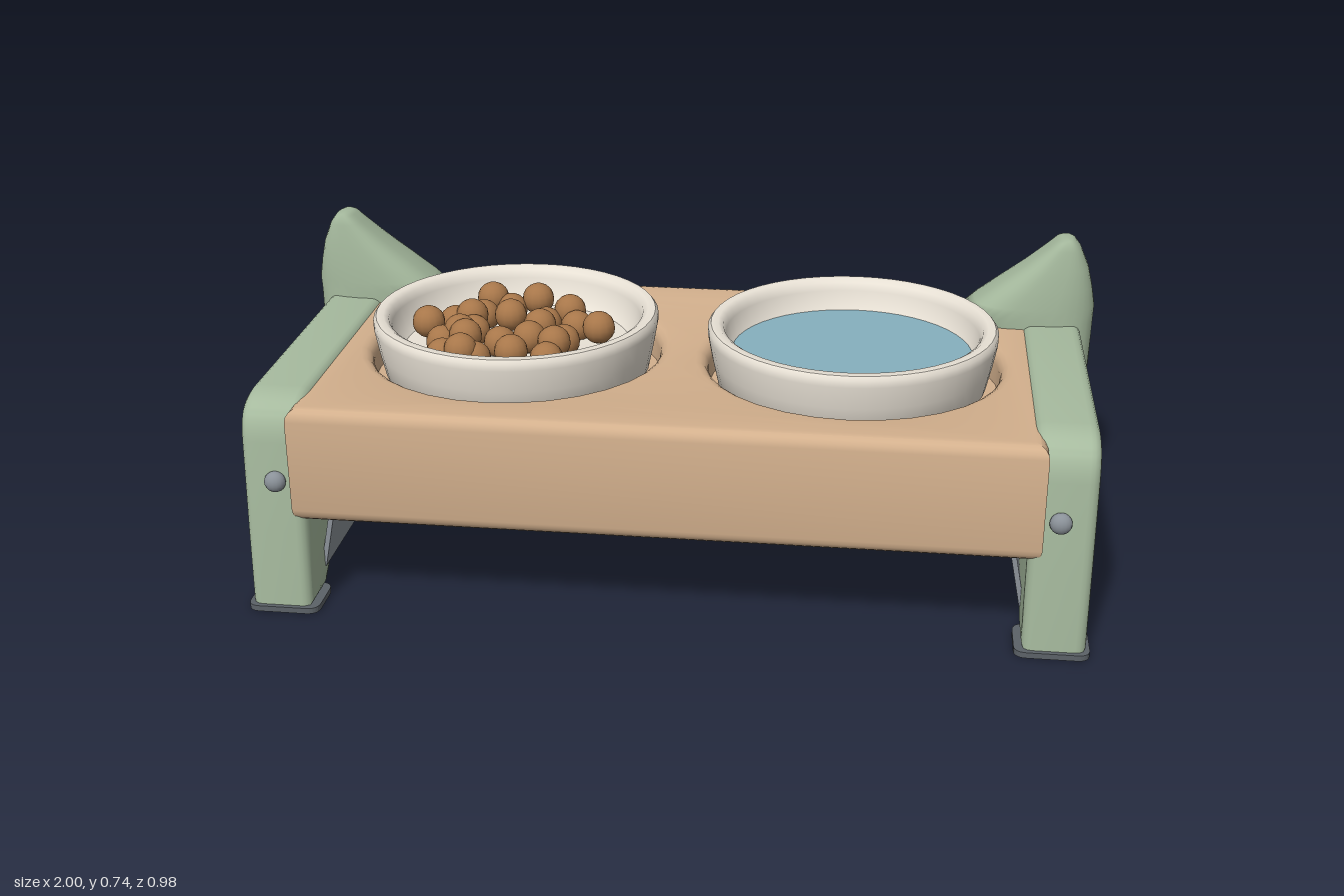
import * as THREE from 'three';
import { toCreasedNormals } from 'three/addons/utils/BufferGeometryUtils.js';

const mat = (color) => new THREE.MeshStandardMaterial({ color });
const GREEN = mat(0xa6ba9e), TAN = mat(0xd3b08d), WHITE = mat(0xe9e2d6);
const WATER = mat(0x86b0be), FOOD = mat(0xa8774a), METAL = mat(0x8b9299), RUBBER = mat(0x5c6268);

function add(parent, name, geometry, material, x = 0, y = 0, z = 0) {
  const mesh = new THREE.Mesh(geometry, material);
  mesh.name = name;
  mesh.position.set(x, y, z);
  parent.add(mesh);
  return mesh;
}

// Extrusion whose bevel stays inside the outline
function bevelled(shape, thickness, bevel) {
  const g = new THREE.ExtrudeGeometry(shape, {
    depth: thickness - 2 * bevel, bevelEnabled: true, bevelSize: bevel,
    bevelThickness: bevel, bevelOffset: -bevel, bevelSegments: 4, curveSegments: 16,
  });
  g.translate(0, 0, bevel - thickness / 2);
  return toCreasedNormals(g, 0.6);
}

// Tray plate with two round openings, seen in plan
function trayGeometry() {
  const s = new THREE.Shape();
  s.moveTo(-0.85, -0.475).lineTo(0.85, -0.475).lineTo(0.85, 0.475).lineTo(-0.85, 0.475).closePath();
  for (const x of [-0.41, 0.41]) {
    s.holes.push(new THREE.Path().absarc(x, 0, 0.35, 0, Math.PI * 2, true));
  }
  return bevelled(s, 0.28, 0.03).rotateX(-Math.PI / 2);
}

// End panel with arched cut-out between two legs, drawn in z and y
function panelGeometry() {
  const s = new THREE.Shape();
  s.moveTo(0.478, 0.005);
  s.lineTo(0.47, 0.2);
  s.lineTo(0.456, 0.42);
  s.bezierCurveTo(0.45, 0.49, 0.42, 0.515, 0.35, 0.52);
  s.lineTo(-0.35, 0.52);
  s.bezierCurveTo(-0.42, 0.515, -0.45, 0.49, -0.456, 0.42);
  s.lineTo(-0.47, 0.2);
  s.lineTo(-0.478, 0.005);
  s.lineTo(-0.355, 0.005);
  s.lineTo(-0.28, 0.068);
  s.quadraticCurveTo(-0.25, 0.09, -0.2, 0.09);
  s.lineTo(0.2, 0.09);
  s.quadraticCurveTo(0.25, 0.09, 0.28, 0.068);
  s.lineTo(0.355, 0.005);
  s.closePath();
  return bevelled(s, 0.145, 0.025).rotateY(-Math.PI / 2);
}

// Ear-shaped corner post: rounded sections [y, inner x, outer x, back z, front z]
function earGeometry(side) {
  const levels = [
    [0.01, 0.9, 0.9, -0.42, -0.42], [0.01, 0.83, 0.97, -0.478, -0.36],
    [0.1, 0.83, 0.975, -0.478, -0.285], [0.2, 0.83, 0.985, -0.476, -0.26],
    [0.4, 0.82, 0.998, -0.464, -0.25], [0.52, 0.66, 1.0, -0.45, -0.245],
    [0.56, 0.7, 1.0, -0.438, -0.246], [0.61, 0.76, 0.99, -0.418, -0.25],
    [0.66, 0.82, 0.977, -0.395, -0.255], [0.71, 0.873, 0.955, -0.368, -0.262],
    [0.73, 0.893, 0.94, -0.355, -0.267], [0.735, 0.905, 0.93, -0.345, -0.275],
    [0.735, 0.917, 0.917, -0.31, -0.31],
  ];
  const n = 32, pos = [], index = [];
  const soft = (v) => Math.sign(v) * Math.abs(v) ** 0.7;
  levels.forEach(([y, x0, x1, z0, z1], i) => {
    for (let j = 0; j < n; j++) {
      const t = (j / n) * Math.PI * 2;
      const x = (x0 + x1) / 2 + ((x1 - x0) / 2) * soft(Math.cos(t));
      pos.push(side * x, y, (z0 + z1) / 2 + ((z1 - z0) / 2) * soft(Math.sin(t)));
      if (i === levels.length - 1) continue;
      const a = i * n + j, b = i * n + ((j + 1) % n), c = a + n, d = b + n;
      if (side > 0) index.push(a, c, b, b, c, d);
      else index.push(a, b, c, b, d, c);
    }
  });
  const g = new THREE.BufferGeometry();
  g.setAttribute('position', new THREE.Float32BufferAttribute(pos, 3));
  g.setIndex(index);
  g.computeVertexNormals();
  return g;
}

function buildEnd(side) {
  const end = new THREE.Group();
  end.name = side > 0 ? 'leftEnd' : 'rightEnd';
  add(end, 'endPanel', panelGeometry(), GREEN, side * 0.8925);
  add(end, 'ear', earGeometry(side), GREEN);

  // Metal bracket joining the panel to the tray floor
  const plate = add(end, 'bracketPlate', new THREE.BoxGeometry(0.012, 0.165, 0.72), METAL, side * 0.807, 0.142);
  plate.rotation.z = side * 0.2;
  add(end, 'bracketFlange', new THREE.BoxGeometry(0.1, 0.014, 0.72), RUBBER, side * 0.78, 0.221);

  for (const f of [1, -1]) {
    // Foot pad with softened corners
    const w = 0.085, d = 0.065, pad = new THREE.Shape();
    pad.moveTo(-w, -d + 0.03).quadraticCurveTo(-w, -d, -w + 0.03, -d);
    pad.lineTo(w - 0.03, -d).quadraticCurveTo(w, -d, w, -d + 0.03);
    pad.lineTo(w, d - 0.03).quadraticCurveTo(w, d, w - 0.03, d);
    pad.lineTo(-w + 0.03, d).quadraticCurveTo(-w, d, -w, d - 0.03);
    const g = new THREE.ExtrudeGeometry(pad, { depth: 0.014, bevelEnabled: false, curveSegments: 6 });
    add(end, 'footPad', g.rotateX(-Math.PI / 2), RUBBER, side * 0.889, 0, f * 0.424);

    const screw = add(end, 'screw', new THREE.SphereGeometry(0.025, 16, 12), METAL, side * 0.885, 0.33, f * 0.468);
    screw.scale.z = 0.8;
  }
  return end;
}

function bowlGeometry() {
  const profile = [[0, 0.42], [0.29, 0.42], [0.322, 0.46], [0.335, 0.52], [0.345, 0.575], [0.345, 0.592],
    [0.338, 0.601], [0.32, 0.602], [0.308, 0.594], [0.302, 0.575], [0.292, 0.53], [0.275, 0.512], [0, 0.508]];
  const g = new THREE.LatheGeometry(profile.map(([r, y]) => new THREE.Vector2(r, y)), 48);
  return toCreasedNormals(g, 0.7);
}

export function createModel() {
  const model = new THREE.Group();
  model.name = 'petFeeder';

  // Tray with a closed floor
  add(model, 'tray', trayGeometry(), TAN, 0, 0.37, -0.003);
  add(model, 'trayFloor', new THREE.BoxGeometry(1.64, 0.2, 0.9), TAN, 0, 0.33, -0.003);

  for (const side of [1, -1]) model.add(buildEnd(side));

  // Water bowl and food bowl
  add(model, 'waterBowl', bowlGeometry(), WHITE, 0.405);
  add(model, 'foodBowl', bowlGeometry(), WHITE, -0.41);
  add(model, 'water', new THREE.CylinderGeometry(0.288, 0.28, 0.012, 48), WATER, 0.405, 0.522);

  // Food pellets, given as x and z
  const pellets = [
    [-0.51, -0.19], [-0.46, -0.175], [-0.395, -0.195], [-0.31, -0.165], [-0.3, -0.12], [-0.275, -0.07],
    [-0.21, -0.01], [-0.29, 0.03], [-0.3, 0.1], [-0.31, 0.15], [-0.39, 0.17], [-0.48, 0.165],
    [-0.51, 0.175], [-0.56, 0.155], [-0.52, 0.08], [-0.58, 0.07], [-0.63, 0], [-0.58, -0.07],
    [-0.535, -0.06], [-0.52, -0.12], [-0.44, -0.07], [-0.355, -0.085], [-0.355, -0.01],
    [-0.44, 0.06], [-0.365, 0.075], [-0.52, -0.01], [-0.54, 0.05],
  ];
  const pelletGeometry = new THREE.SphereGeometry(0.04, 14, 10);
  pellets.forEach(([x, z], i) => add(model, 'pellet', pelletGeometry, FOOD, x, i % 2 ? 0.535 : 0.558, z));

  return model;
}
